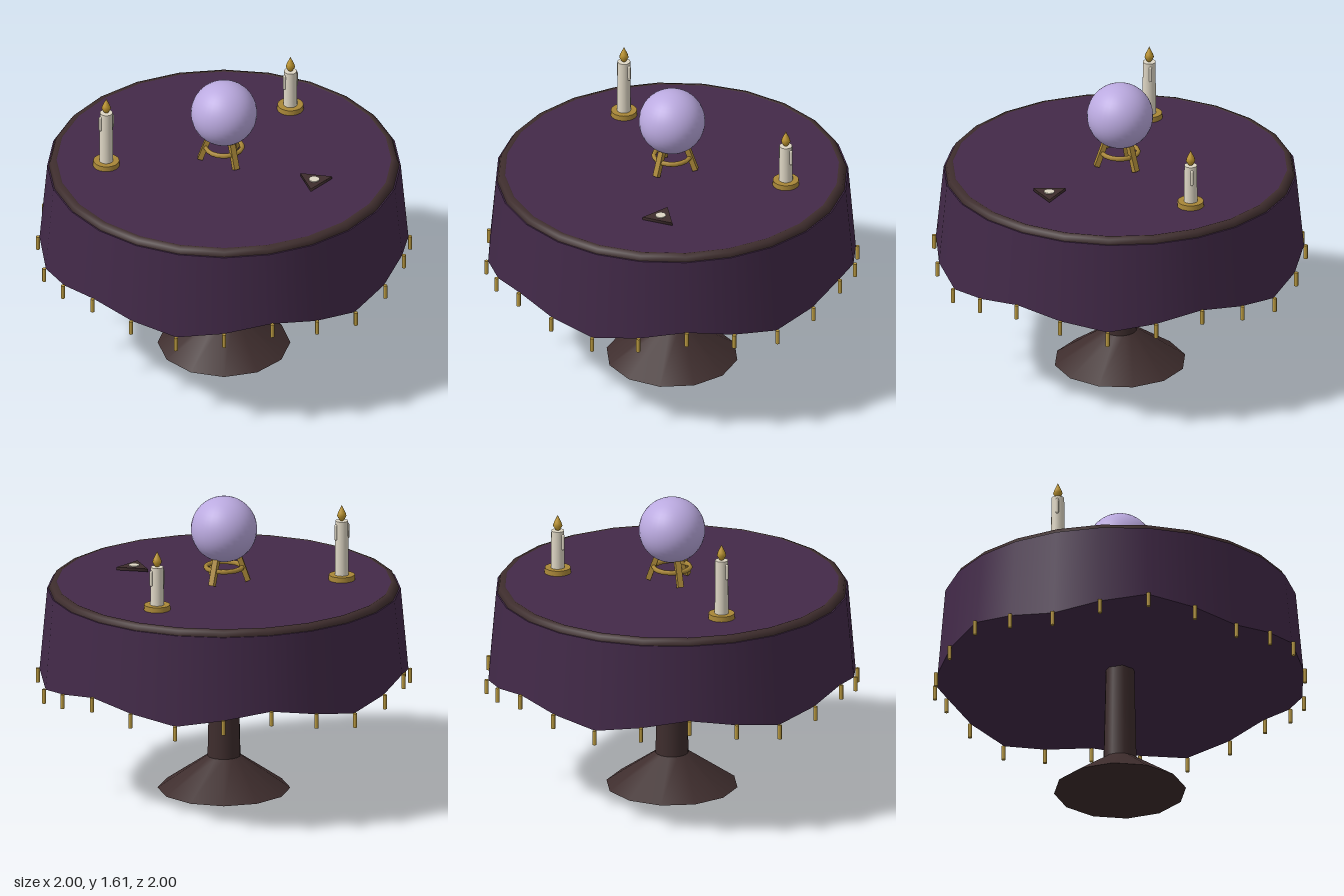
import * as THREE from 'three';

const mat = (name, color) => {
  const m = new THREE.MeshStandardMaterial({ color });
  m.name = name;
  return m;
};

export function createModel() {
  const cloth = mat('purple cloth', 0x432a49);
  const wood = mat('dark wood', 0x3e2d2d);
  const gold = mat('brass', 0xa98738);
  const thread = mat('gold thread', 0xb89840);
  const wax = mat('cream wax', 0xded6c4);
  const flameMat = mat('flame', 0xbc942f);
  const crystal = mat('lavender crystal', 0xbbaae0);

  const root = new THREE.Group();
  root.name = 'fortuneTable';
  const add = (name, geo, material, x = 0, y = 0, z = 0, parent = root) => {
    const mesh = new THREE.Mesh(geo, material);
    mesh.name = name;
    mesh.position.set(x, y, z);
    parent.add(mesh);
    return mesh;
  };
  // cylinder standing from y0 to y1
  const post = (name, rTop, rBottom, y0, y1, sides, material, x = 0, z = 0, parent = root) =>
    add(name, new THREE.CylinderGeometry(rTop, rBottom, y1 - y0, sides), material, x, (y0 + y1) / 2, z, parent);

  // Pedestal
  post('base', 0.09, 0.352, 0, 0.18, 12, wood);
  post('column', 0.075, 0.088, 0.18, 0.75, 16, wood);

  // Table top: cloth disc inside a rounded wooden rim
  post('clothTop', 0.89, 0.89, 1.1, 1.137, 24, cloth);
  add('woodRim', new THREE.TorusGeometry(0.895, 0.035, 8, 24), wood, 0, 1.105, 0).rotation.x = Math.PI / 2;

  // Hanging cloth with a wavy hem, closed underneath
  const SEGMENTS = 24;
  const hem = (a) => 0.657 - 0.042 * Math.sin(6 * a);
  const drapeGeo = new THREE.CylinderGeometry(0.937, 0.978, 1, SEGMENTS);
  const pos = drapeGeo.attributes.position;
  for (let i = 0; i < pos.count; i++) {
    const x = pos.getX(i);
    const z = pos.getZ(i);
    const lower = Math.hypot(x, z) < 0.01 ? 0.7 : hem(Math.atan2(x, z));
    pos.setY(i, pos.getY(i) > 0 ? 1.105 : lower);
  }
  add('drape', drapeGeo, cloth);

  // Tassels on every hem point
  const tassels = new THREE.Group();
  tassels.name = 'tassels';
  root.add(tassels);
  const tasselGeo = new THREE.CylinderGeometry(0.011, 0.011, 0.078, 8);
  for (let i = 0; i < SEGMENTS; i++) {
    const a = (i / SEGMENTS) * Math.PI * 2;
    add('tassel', tasselGeo, thread, 0.987 * Math.sin(a), hem(a) - 0.036, 0.987 * Math.cos(a), tassels);
  }

  // Crystal ball on a three-legged stand
  add('crystalBall', new THREE.SphereGeometry(0.176, 32, 24), crystal, 0, 1.43, 0);
  const stand = new THREE.Group();
  stand.name = 'ballStand';
  root.add(stand);
  add('standRing', new THREE.TorusGeometry(0.097, 0.013, 6, 18), gold, 0, 1.22, 0, stand).rotation.x = Math.PI / 2;
  for (let i = 0; i < 3; i++) {
    const pivot = new THREE.Group();
    pivot.name = 'standLegPivot';
    pivot.rotation.y = (i * Math.PI * 2) / 3;
    stand.add(pivot);
    add('standLeg', new THREE.BoxGeometry(0.031, 0.15, 0.028), gold, 0, 1.217, 0.102, pivot).rotation.x = -0.34;
  }

  // Candles with saucer, wax drips, wick and flame
  const flameProfile = [[0, 0], [0.013, 0.01], [0.025, 0.032], [0.02, 0.05], [0.009, 0.073], [0, 0.092]];
  const flameGeo = new THREE.LatheGeometry(flameProfile.map(([r, y]) => new THREE.Vector2(r, y)), 12);
  const addCandle = (name, x, top) => {
    const candle = new THREE.Group();
    candle.name = name;
    candle.position.set(x, 0, -0.27);
    root.add(candle);
    post('saucer', 0.069, 0.071, 1.137, 1.165, 18, gold, 0, 0, candle);
    post('wax', 0.034, 0.037, 1.165, top, 16, wax, 0, 0, candle);
    post('wick', 0.005, 0.005, top, top + 0.02, 6, wood, 0, 0, candle);
    for (const side of [-1, 1]) {
      add('waxDrip', new THREE.CapsuleGeometry(0.009, 0.07, 4, 8), wax, side * 0.036, top - 0.06, 0, candle);
    }
    add('flame', flameGeo, flameMat, 0, top - 0.005, 0, candle);
  };
  addCandle('rightCandle', -0.565, 1.462);
  addCandle('leftCandle', 0.563, 1.372);

  // Triangular pointer with a pale inset disc
  const turn = THREE.MathUtils.degToRad(79);
  add('pointer', new THREE.CylinderGeometry(0.098, 0.098, 0.016, 3, 1, false, turn), wood, 0.298, 1.15, 0.441);
  post('pointerDisc', 0.028, 0.028, 1.157, 1.163, 16, wax, 0.297, 0.441);

  return root;
}
